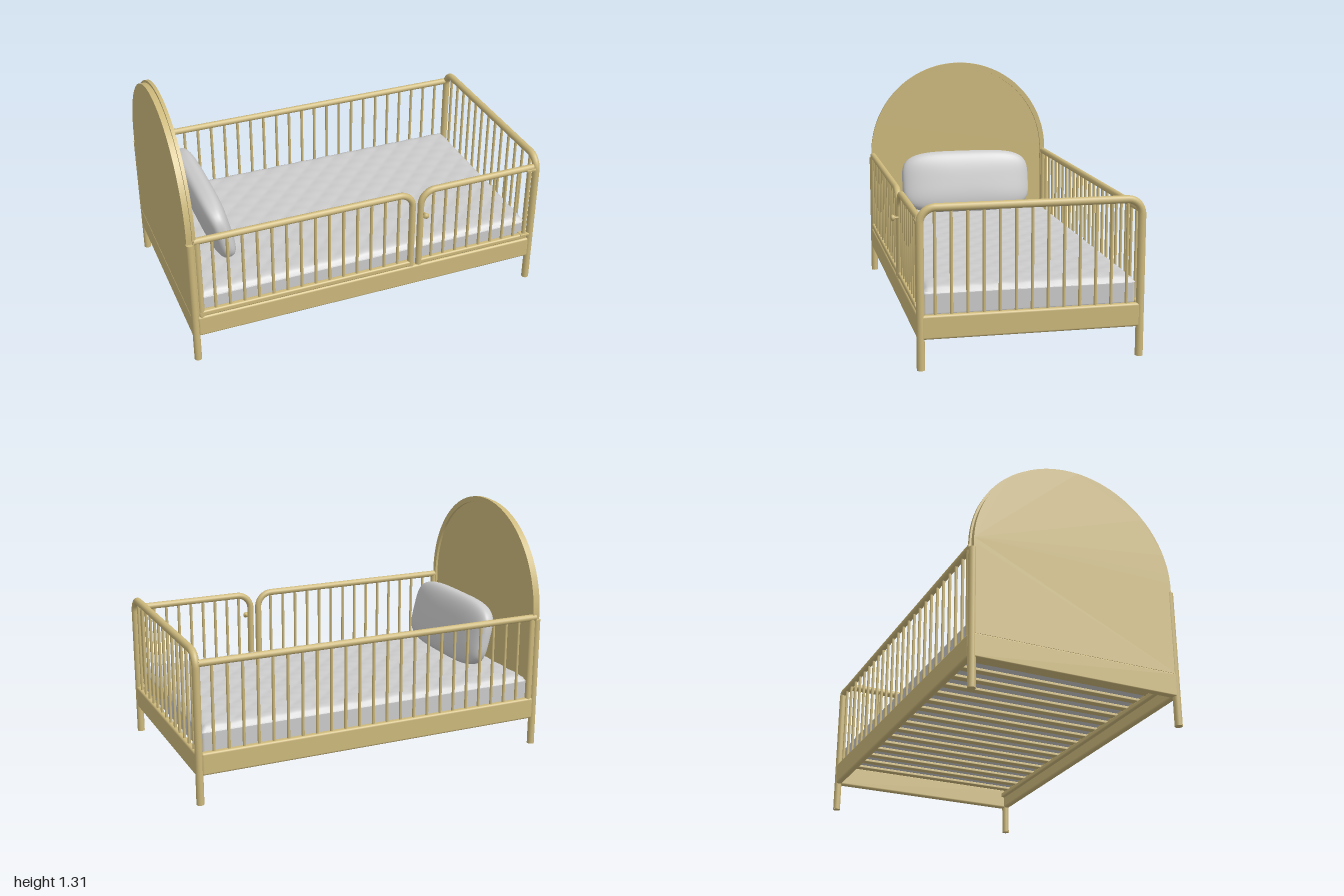
import * as THREE from 'three';
import { RoundedBoxGeometry } from 'three/addons/geometries/RoundedBoxGeometry.js';

const wood = new THREE.MeshStandardMaterial({ color: 0xcdb97c });
const cloth = new THREE.MeshStandardMaterial({ color: 0xcccccc, side: THREE.DoubleSide });
const V = (x, y, z) => new THREE.Vector3(x, y, z);
const Z = 0.547; // distance of the post axes from the bed's centre line
const X = 0.975;

export function createModel() {
  const root = new THREE.Group();
  const bed = new THREE.Group();
  bed.name = 'bed';
  bed.position.z = -0.017;
  root.add(bed);

  const add = (name, geometry, pos = [0, 0, 0], material = wood) => {
    const mesh = new THREE.Mesh(geometry, material);
    mesh.name = name;
    mesh.position.set(...pos);
    bed.add(mesh);
    return mesh;
  };
  const box = (name, x0, x1, y0, y1, z0, z1, r = 0.006) =>
    add(name, new RoundedBoxGeometry(x1 - x0, y1 - y0, z1 - z0, 3, r),
      [(x0 + x1) / 2, (y0 + y1) / 2, (z0 + z1) / 2]);
  const post = (name, r, x, y0, y1, z, sides = 10) =>
    add(name, new THREE.CylinderGeometry(r, r, y1 - y0, sides), [x, (y0 + y1) / 2, z]);

  // Tube through corner points, each inner corner rounded with radius R
  const bentTube = (name, pts, R, r) => {
    const path = new THREE.CurvePath();
    let from = pts[0];
    for (let i = 1; i < pts.length - 1; i++) {
      const p = pts[i];
      const a = p.clone().add(pts[i - 1].clone().sub(p).setLength(R));
      const b = p.clone().add(pts[i + 1].clone().sub(p).setLength(R));
      path.add(new THREE.LineCurve3(from, a));
      path.add(new THREE.CubicBezierCurve3(a, a.clone().lerp(p, 0.552), b.clone().lerp(p, 0.552), b));
      from = b;
    }
    path.add(new THREE.LineCurve3(from, pts[pts.length - 1]));
    add(name, new THREE.TubeGeometry(path, 160, r, 14, false));
    // End caps
    for (const [end, next] of [[pts[0], pts[1]], [pts[pts.length - 1], pts[pts.length - 2]]]) {
      const cap = add(name + 'Cap', new THREE.CircleGeometry(r, 14), end.toArray());
      cap.lookAt(end.clone().multiplyScalar(2).sub(next));
    }
  };
  // Evenly spaced spindles strictly between two ends along x
  const spindlesX = (name, x0, x1, n, y0, y1, z) => {
    for (let i = 1; i <= n; i++) post(name, 0.008, x0 + (x1 - x0) * i / (n + 1), y0, y1, z);
  };

  // Lower rails
  for (const s of [-1, 1]) box('sideRail', -0.965, 0.965, 0.155, 0.275, s * Z - 0.018, s * Z + 0.018, 0.012);
  box('footRail', X - 0.017, X + 0.017, 0.152, 0.272, -Z, Z, 0.012);
  box('headRail', -0.993, -0.957, 0.152, 0.272, -Z, Z, 0.006);

  // Footboard: one bent frame that also forms both foot legs
  bentTube('footFrame', [V(X, 0, Z), V(X, 0.792, Z), V(X, 0.792, -Z), V(X, 0, -Z)], 0.075, 0.02);
  for (let i = -6; i <= 6; i++) post('footSpindle', 0.008, X, 0.265, 0.785, i * 0.0792);

  // Headboard: legs, arched panel and raised rim
  for (const s of [-1, 1]) post('headLeg', 0.02, -X, 0, 0.725, s * Z, 16);
  const arch = (r, y0, cy) => {
    const p = new THREE.Shape();
    p.moveTo(-r, y0);
    p.lineTo(r, y0);
    p.lineTo(r, cy);
    p.absarc(0, cy, r, 0, Math.PI, false);
    p.lineTo(-r, y0);
    return p;
  };
  const headPart = (name, shape, x0, depth) => {
    const g = new THREE.ExtrudeGeometry(shape, { depth, bevelEnabled: false, curveSegments: 64 });
    g.rotateY(Math.PI / 2);
    add(name, g, [x0, 0, 0]);
  };
  headPart('headPanel', arch(0.547, 0.272, 0.75), -0.991, 0.032);
  const rim = arch(0.557, 0.272, 0.753);
  rim.holes.push(arch(0.528, 0.273, 0.753));
  headPart('headRim', rim, -0.962, 0.017);

  // Back guard
  const top = 0.738;
  const rail = add('backTopRail', new THREE.CylinderGeometry(0.018, 0.018, 1.93, 14), [0, top, -Z]);
  rail.rotation.z = Math.PI / 2;
  post('backEndPost', 0.016, -0.94, 0.27, top, -Z);
  spindlesX('backSpindle', -0.94, X, 23, 0.265, top, -Z);

  // Fixed front guard
  bentTube('guardFrame', [V(-0.955, top, Z), V(0.237, top, Z), V(0.237, 0.275, Z)], 0.08, 0.018);
  post('guardEndPost', 0.017, -0.94, 0.27, top, Z);
  box('guardBottomRail', -0.955, 0.245, 0.275, 0.308, Z - 0.016, Z + 0.016, 0.01);
  spindlesX('guardSpindle', -0.94, 0.237, 14, 0.3, top, Z);

  // Gate with hinges and knob
  bentTube('gateFrame', [V(0.955, top, Z), V(0.286, top, Z), V(0.286, 0.275, Z)], 0.08, 0.018);
  box('gateBottomRail', 0.278, 0.95, 0.278, 0.308, Z - 0.016, Z + 0.016, 0.01);
  spindlesX('gateSpindle', 0.286, 0.94, 8, 0.3, top, Z);
  post('gateEndPost', 0.012, 0.936, 0.28, top, Z);
  for (const y of [0.303, 0.727]) box('gateHinge', 0.91, 0.965, y - 0.007, y + 0.007, Z - 0.02, Z + 0.02, 0.003);
  const knobProfile = [[0, 0], [0.007, 0], [0.007, 0.018], [0.013, 0.022], [0.017, 0.03], [0.013, 0.038], [0, 0.041]]
    .map(p => new THREE.Vector2(...p));
  add('gateKnob', new THREE.LatheGeometry(knobProfile, 18), [0.3, 0.605, Z + 0.01]).rotation.x = Math.PI / 2;

  // Slatted base
  for (const s of [-1, 1]) box('slatCleat', -0.95, 0.95, 0.215, 0.24, s * 0.518 - 0.013, s * 0.518 + 0.013);
  for (let i = 0; i < 17; i++) {
    const x = -0.88 + i * 0.11;
    box('slat', x - 0.02, x + 0.02, 0.24, 0.256, -0.53, 0.53, 0.004);
  }

  // Mattress body with a softly quilted top
  const L = 1.89, W = 1.06;
  add('mattress', new RoundedBoxGeometry(L, 0.122, W, 4, 0.015), [0.005, 0.318, 0], cloth);
  const quilt = new THREE.PlaneGeometry(L, W, 120, 70);
  quilt.rotateX(-Math.PI / 2);
  const q = quilt.attributes.position;
  for (let i = 0; i < q.count; i++) {
    const x = q.getX(i), z = q.getZ(i);
    const edge = Math.min(1, Math.min(L / 2 - Math.abs(x), W / 2 - Math.abs(z)) / 0.06);
    const dome = Math.sqrt(Math.max(0, 1 - (1 - edge) ** 2));
    const stitch = Math.abs(Math.sin((x + z) * 22) * Math.sin((x - z) * 22));
    q.setY(i, 0.368 + dome * (0.031 + 0.005 * stitch));
  }
  quilt.computeVertexNormals();
  add('mattressTop', quilt, [0.005, 0, 0], cloth);

  // Pillow: a sphere squared off by a superellipse rule, leaning on the headboard
  const pillow = new THREE.SphereGeometry(1, 64, 48);
  const p = pillow.attributes.position;
  const v = V(0, 0, 0);
  for (let i = 0; i < p.count; i++) {
    v.fromBufferAttribute(p, i);
    const flat = (Math.abs(v.y) ** 4 + Math.abs(v.z) ** 4) ** 0.25;
    const k = (flat ** 3 + Math.abs(v.x) ** 3) ** (-1 / 3);
    p.setXYZ(i, v.x * k * 0.07, v.y * k * 0.188, v.z * k * 0.395);
  }
  pillow.computeVertexNormals();
  add('pillow', pillow, [-0.75, 0.594, -0.003], cloth).rotation.z = 0.24;

  return root;
}
